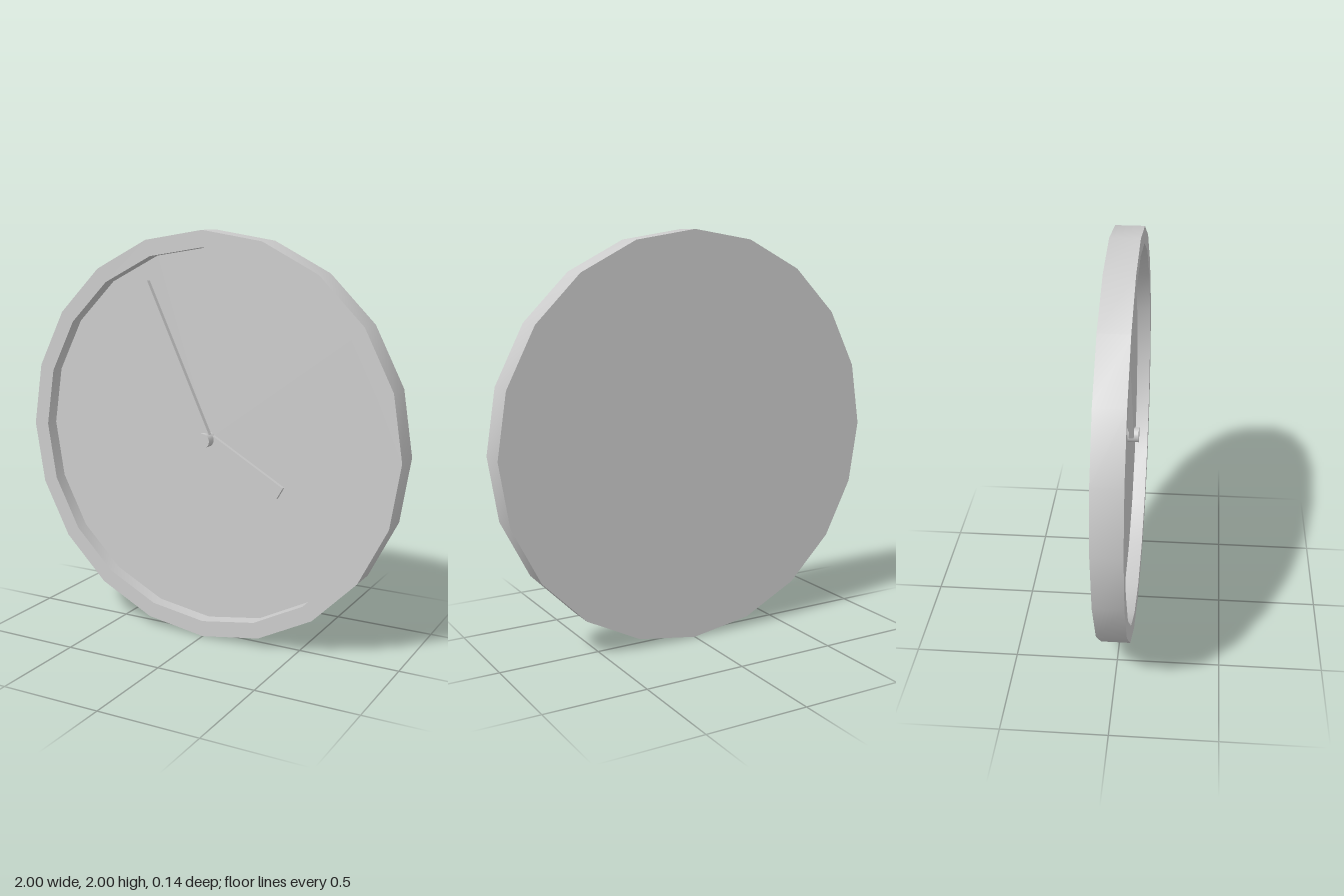
import * as THREE from 'three';
import { toCreasedNormals } from 'three/addons/utils/BufferGeometryUtils.js';

const SIDES = 20, OUTER = 1, INNER = 0.92, HALF = 0.07, FACE_Z = 0;

// Points of a regular polygon with a corner on +x
const ring = (r) => Array.from({ length: SIDES }, (_, i) => {
  const a = (i / SIDES) * Math.PI * 2;
  return new THREE.Vector2(Math.cos(a) * r, Math.sin(a) * r);
});

export function createModel() {
  const group = new THREE.Group();
  const material = new THREE.MeshStandardMaterial({ color: 0xcccccc });

  const add = (name, geometry) => {
    const mesh = new THREE.Mesh(geometry, material);
    mesh.name = name;
    mesh.position.y = 1;
    group.add(mesh);
    return mesh;
  };

  // Cylinder along z between two depths
  const disc = (r, z0, z1, sides) =>
    new THREE.CylinderGeometry(r, r, z1 - z0, sides)
      .rotateX(Math.PI / 2)
      .translate(0, 0, (z0 + z1) / 2);

  // Raised rim around the dial
  const rimShape = new THREE.Shape(ring(OUTER));
  rimShape.holes.push(new THREE.Path(ring(INNER).reverse()));
  const rim = new THREE.ExtrudeGeometry(rimShape, { depth: 2 * HALF, bevelEnabled: false });
  add('rim', toCreasedNormals(rim.translate(0, 0, -HALF), 0.6));

  // Recessed dial, flush with the rim at the back
  add('dial', disc(INNER, -HALF, FACE_Z, SIDES));

  // Hands start at the centre and point along their angle from +x
  const hand = (name, length, angle, z0, z1) => {
    const bar = new THREE.BoxGeometry(length, 0.065, z1 - z0);
    add(name, bar.translate(length / 2, 0, (z0 + z1) / 2)).rotation.z = angle;
  };
  hand('hourHand', 0.45, THREE.MathUtils.degToRad(-30), FACE_Z, 0.02);
  hand('minuteHand', 0.82, THREE.MathUtils.degToRad(115), 0.02, 0.045);

  // Centre pin
  add('centrePin', disc(0.036, FACE_Z, 0.068, 20));

  return group;
}
